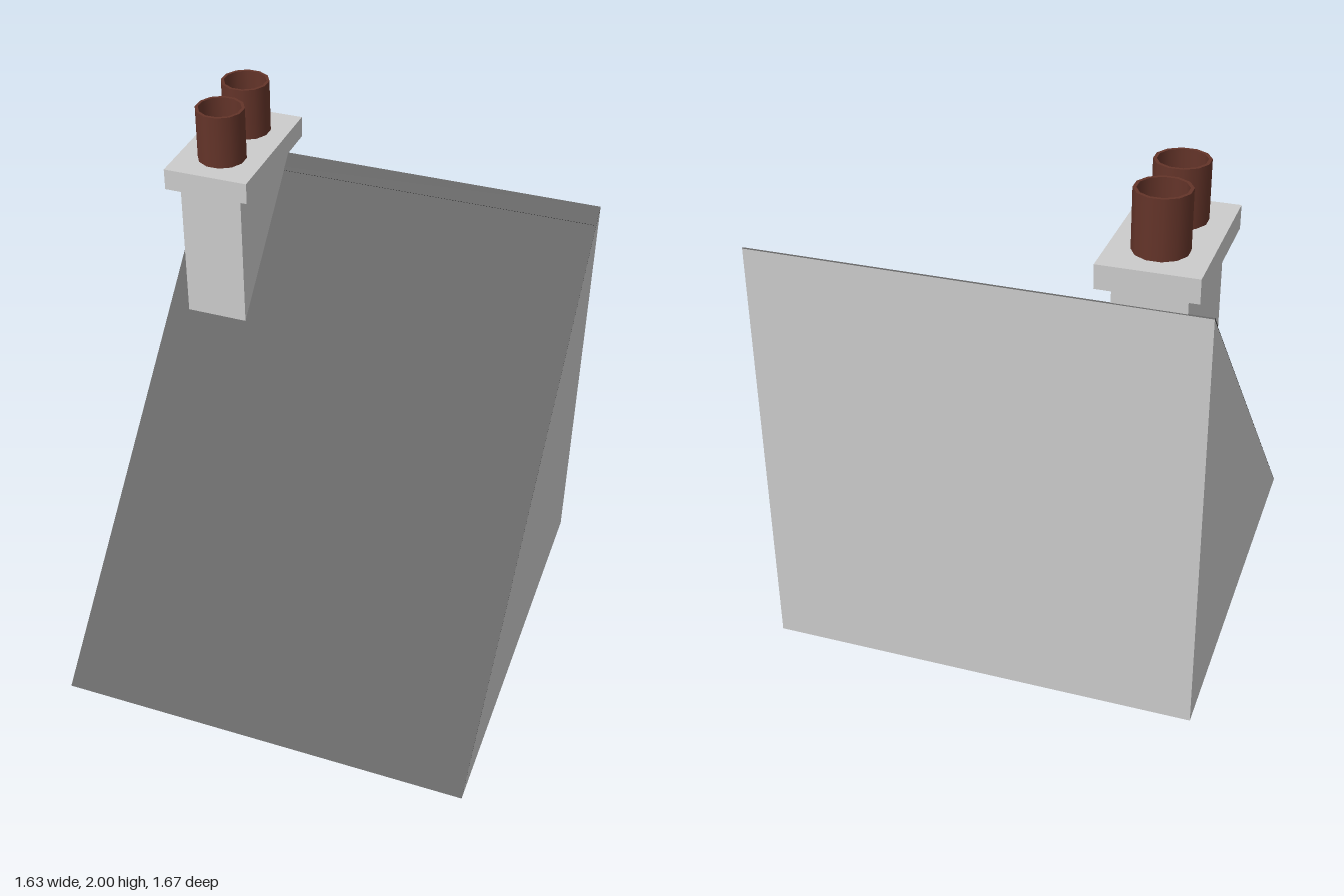
import * as THREE from 'three';

const WIDTH = 1.63, FRONT = 0.835, BACK = -0.795, APEX = 1.64;
const STACK_X = -0.605, STACK_Z = -0.54;

const wall = new THREE.MeshStandardMaterial({ color: 0xcccccc });
const slate = new THREE.MeshStandardMaterial({ color: 0x2f2f2f });
const clay = new THREE.MeshStandardMaterial({ color: 0x643429, side: THREE.DoubleSide });

export function createModel() {
  const model = new THREE.Group();

  const add = (name, geometry, material, x = 0, y = 0, z = 0) => {
    const mesh = new THREE.Mesh(geometry, material);
    mesh.name = name;
    mesh.position.set(x, y, z);
    model.add(mesh);
    return mesh;
  };

  // Side profile of [z, y] points, extruded across the full width
  const across = (points) => {
    const shape = new THREE.Shape(points.map(([z, y]) => new THREE.Vector2(-z, y)));
    return new THREE.ExtrudeGeometry(shape, { depth: WIDTH, bevelEnabled: false })
      .translate(0, 0, -WIDTH / 2).rotateY(Math.PI / 2);
  };

  // Point on the slope: t = 0 at the eave, 1 at the apex, lifted by h
  const onSlope = (t, h) => [
    THREE.MathUtils.lerp(FRONT, BACK, t) + h * 0.7,
    APEX * t + h * 0.7,
  ];

  // Wedge-shaped body of the house
  add('walls', across([[FRONT, 0], [BACK, 0], [BACK, APEX]]), wall);

  // Thin roof covering and the ridge strip along its top edge
  const layer = (t0, t1, h) => across([onSlope(t0, 0), onSlope(t1, 0), onSlope(t1, h), onSlope(t0, h)]);
  add('roofSlope', layer(0, 1, 0.002), slate);
  add('ridgeStrip', layer(0.967, 1, 0.005), slate);

  // Chimney stack rising out of the slope, with an overhanging cap
  add('chimneyStack', new THREE.BoxGeometry(0.25, 0.58, 0.505), wall, STACK_X, 1.415, STACK_Z);
  add('chimneyCap', new THREE.BoxGeometry(0.34, 0.085, 0.59), wall, STACK_X, 1.7475, STACK_Z);

  // Hollow twelve-sided pots: outer wall, rim and inner wall
  const outer = 0.096, inner = 0.084, h = 0.21;
  const side = (r) => new THREE.CylinderGeometry(r, r, h, 12, 1, true, Math.PI / 12);
  for (const z of [-0.415, -0.665]) {
    const y = 1.79 + h / 2;
    add('potOuter', side(outer), clay, STACK_X, y, z);
    add('potInner', side(inner), clay, STACK_X, y, z);
    const rim = new THREE.RingGeometry(inner, outer, 12, 1, Math.PI / 12).rotateX(-Math.PI / 2);
    add('potRim', rim, clay, STACK_X, 2, z);
  }

  return model;
}
